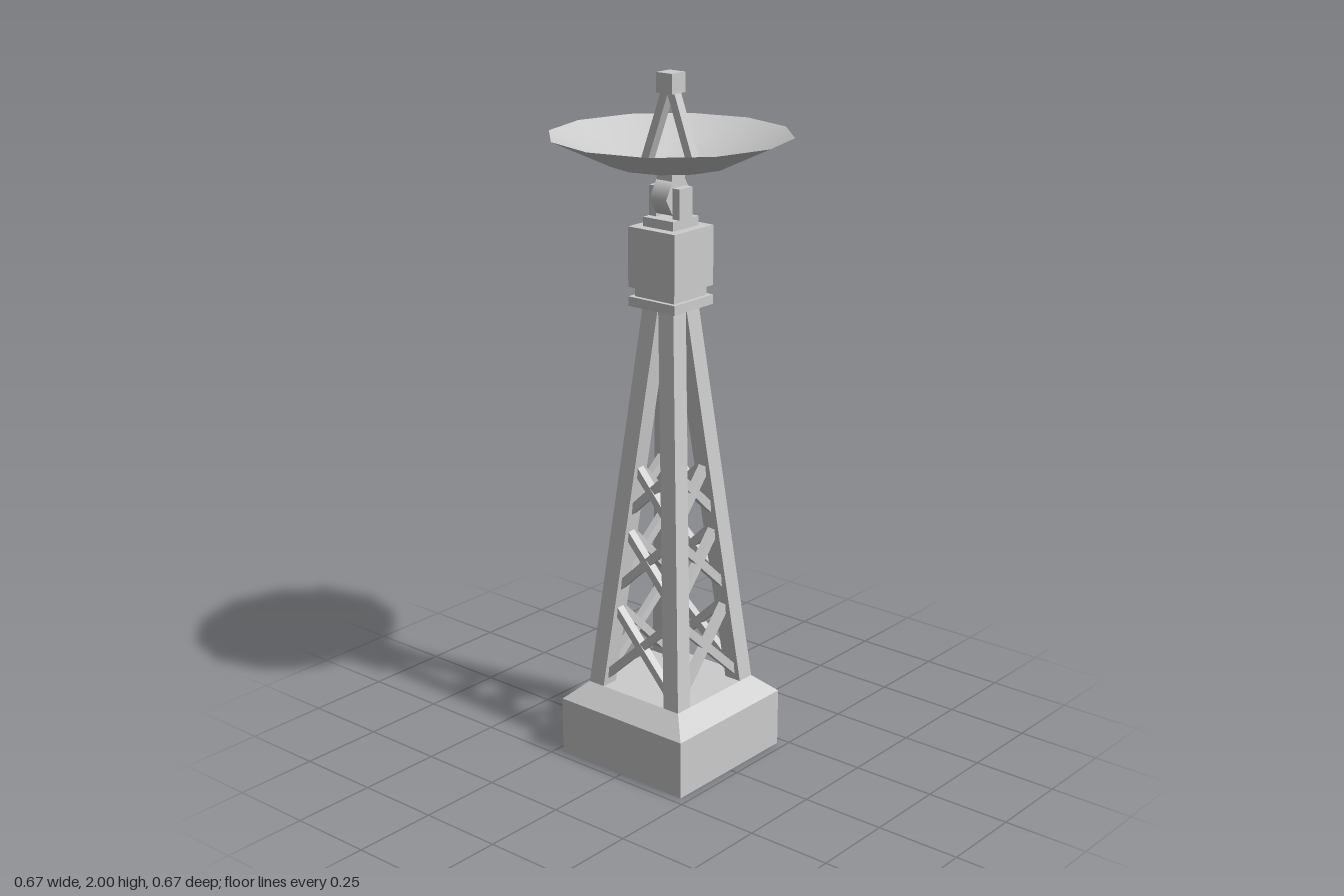
import * as THREE from 'three';

const material = new THREE.MeshStandardMaterial({ color: 0xcccccc });
const thinMaterial = new THREE.MeshStandardMaterial({ color: 0xcccccc, side: THREE.DoubleSide });

export function createModel() {
  const model = new THREE.Group();

  const add = (name, geometry, parent = model, mat = material) => {
    const mesh = new THREE.Mesh(geometry, mat);
    mesh.name = name;
    parent.add(mesh);
    return mesh;
  };

  // Square block centred on the mast, from y0 to y1
  const block = (name, halfX, halfZ, y0, y1, z = 0) =>
    add(name, new THREE.BoxGeometry(2 * halfX, y1 - y0, 2 * halfZ).translate(0, (y0 + y1) / 2, z));

  // Straight bar between two points; width is measured across the bar's plane
  const bar = (name, a, b, depth, width, parent) => {
    const mesh = new THREE.Mesh(new THREE.BoxGeometry(depth, width, a.distanceTo(b)), material);
    mesh.name = name;
    mesh.position.copy(a).lerp(b, 0.5);
    mesh.lookAt(b);
    parent.add(mesh);
  };

  // Foundation with a bevelled top
  block('foundation', 0.225, 0.225, 0, 0.172);
  const bevel = new THREE.CylinderGeometry(0.168 * Math.SQRT2, 0.225 * Math.SQRT2, 0.053, 4).toNonIndexed();
  bevel.computeVertexNormals();
  bevel.rotateY(Math.PI / 4).translate(0, 0.1985, 0);
  add('foundationBevel', bevel);

  // Tower: four leaning legs, each a sheared box
  const legBottom = 0.225, legTop = 1.36;
  const legCentre = (y) => 0.141 - (y - legBottom) * 0.1;
  for (const sx of [-1, 1]) for (const sz of [-1, 1]) {
    const leg = new THREE.BoxGeometry(0.054, legTop - legBottom, 0.054).translate(0, (legBottom + legTop) / 2, 0);
    const p = leg.attributes.position;
    for (let i = 0; i < p.count; i++) {
      const c = legCentre(p.getY(i));
      p.setX(i, p.getX(i) + sx * c);
      p.setZ(i, p.getZ(i) + sz * c);
    }
    leg.computeVertexNormals();
    add('leg', leg);
  }

  // Three cross braces on every side of the tower
  for (let side = 0; side < 4; side++) {
    const braces = new THREE.Group();
    braces.name = 'crossBraces';
    for (const [y, h] of [[0.355, 0.12], [0.61, 0.098], [0.82, 0.08]]) {
      const lo = legCentre(y - h), hi = legCentre(y + h);
      for (const s of [-1, 1]) {
        bar('brace', new THREE.Vector3(-s * lo, y - h, lo), new THREE.Vector3(s * hi, y + h, hi), 0.024, 0.024, braces);
      }
    }
    braces.rotation.y = side * Math.PI / 2;
    model.add(braces);
  }

  // Tower head
  block('flange', 0.083, 0.083, 1.357, 1.384);
  block('collar', 0.07, 0.07, 1.384, 1.411);
  block('headBox', 0.083, 0.083, 1.411, 1.581);

  // Tilting mount: base plate, two yoke plates, six-sided pivot and neck
  block('mountPlate', 0.054, 0.054, 1.581, 1.607);
  for (const s of [-1, 1]) block('yokePlate', 0.028, 0.0125, 1.607, 1.692, s * 0.0415);
  add('pivot', new THREE.CylinderGeometry(0.054, 0.054, 0.058, 6)
    .rotateY(Math.PI / 2).rotateX(Math.PI / 2).translate(0, 1.663, 0));
  block('neck', 0.027, 0.027, 1.68, 1.732);

  // Shallow twelve-sided dish
  const profile = [[0, 1.725], [0.04, 1.728], [0.17, 1.754], [0.337, 1.832]].map(([r, y]) => new THREE.Vector2(r, y));
  add('dish', new THREE.LatheGeometry(profile, 12), model, thinMaterial);

  // Feed held over the dish by two struts
  for (const s of [-1, 1]) {
    bar('feedStrut', new THREE.Vector3(0, 1.74, s * 0.088), new THREE.Vector3(0, 1.965, s * 0.004), 0.028, 0.024, model);
  }
  block('feed', 0.028, 0.028, 1.945, 2);

  return model;
}
